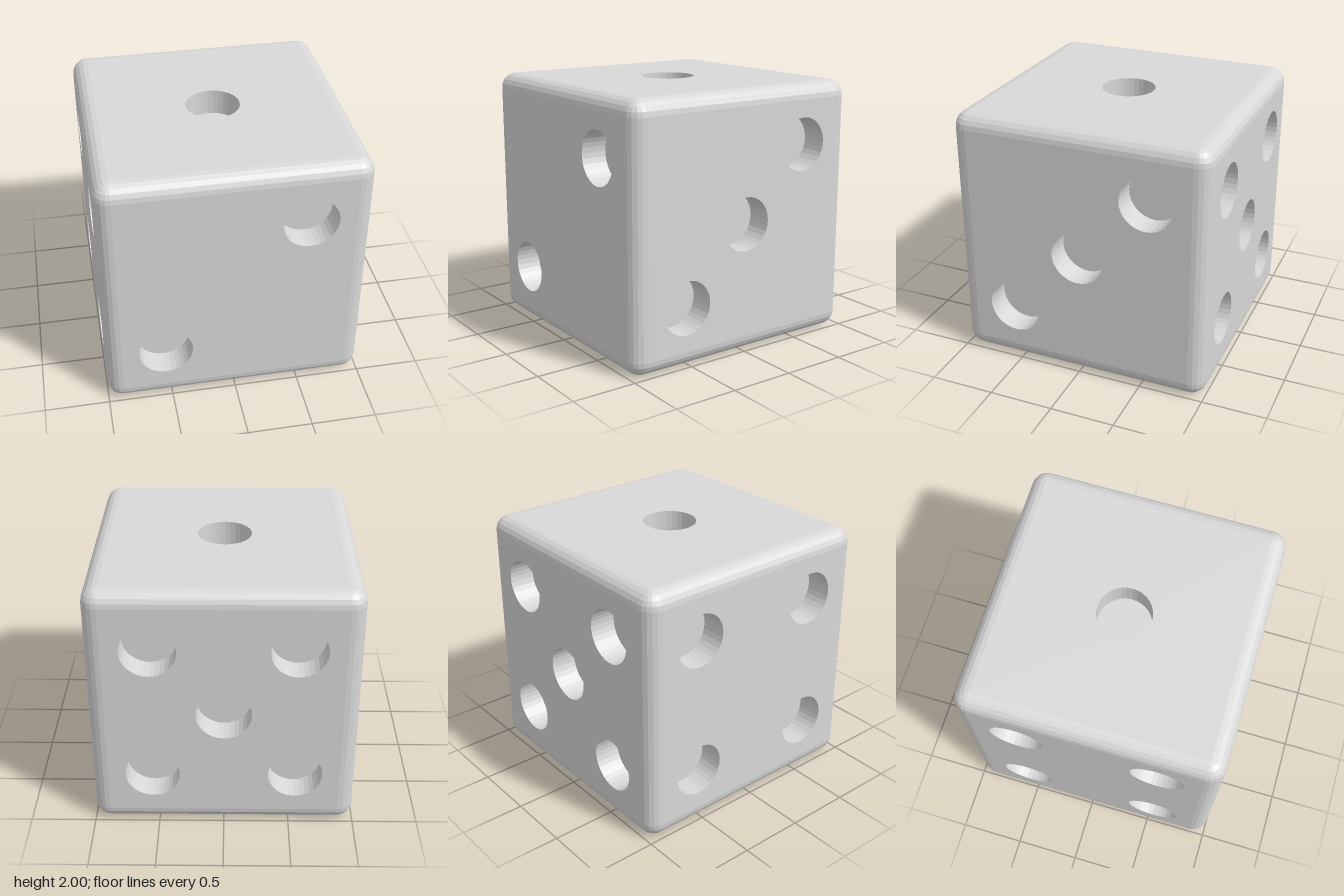
import * as THREE from 'three';

const ROUND = 0.12;            // edge rounding radius
const FLAT = 1 - ROUND;        // half width of the flat part of a face
const STEPS = 5;               // facets around each rounded edge
const PIP = 0.206, DEPTH = 0.2, A = 0.54;

const CENTRE = [[0, 0]];
const DIAGONAL = [[A, A], [-A, -A]];
const FOUR = [...DIAGONAL, [-A, A], [A, -A]];
const HALF = Math.PI / 2;

// name, rotation about x, rotation about y, pip positions
const FACES = [
  ['top', -HALF, 0, CENTRE],
  ['front', 0, 0, DIAGONAL],
  ['right', 0, HALF, [...DIAGONAL, ...CENTRE]],
  ['left', 0, -HALF, FOUR],
  ['back', 0, Math.PI, [...FOUR, ...CENTRE]],
  ['bottom', HALF, 0, [...FOUR, [A, 0], [-A, 0]]],
];

export function createModel() {
  const model = new THREE.Group();
  model.name = 'die';
  const grey = new THREE.MeshStandardMaterial({ color: 0xd8d8d8, flatShading: true });
  grey.name = 'light grey';

  const body = new THREE.Group();
  body.name = 'body';
  body.position.y = 1;
  model.add(body);

  const add = (parent, name, geometry) => {
    const mesh = new THREE.Mesh(geometry, grey);
    mesh.name = name;
    parent.add(mesh);
    return mesh;
  };

  // Drilled pip: wall going inward, then a flat floor
  const pipGeometry = new THREE.LatheGeometry([
    new THREE.Vector2(PIP, 0),
    new THREE.Vector2(PIP, -DEPTH),
    new THREE.Vector2(0, -DEPTH),
  ], 32).rotateX(HALF);

  // Six flat faces with round holes
  for (const [name, rx, ry, pips] of FACES) {
    const face = new THREE.Group();
    face.name = name + 'Face';
    face.rotation.set(rx, ry, 0);
    const shape = new THREE.Shape([
      new THREE.Vector2(-FLAT, -FLAT), new THREE.Vector2(FLAT, -FLAT),
      new THREE.Vector2(FLAT, FLAT), new THREE.Vector2(-FLAT, FLAT),
    ]);
    for (const [x, y] of pips) {
      shape.holes.push(new THREE.Path().absarc(x, y, PIP, 0, Math.PI * 2, true));
      add(face, 'pip', pipGeometry).position.set(x, y, 1);
    }
    add(face, 'plate', new THREE.ShapeGeometry(shape, 16)).position.z = 1;
    body.add(face);
  }

  // Twelve rounded edges, four along each axis
  const edgeGeometry = new THREE.CylinderGeometry(ROUND, ROUND, 2 * FLAT, STEPS, 1, true, 0, HALF)
    .translate(FLAT, 0, FLAT);
  for (const [rx, rz] of [[0, 0], [HALF, 0], [0, HALF]]) {
    const edges = new THREE.Group();
    edges.name = 'edges';
    edges.rotation.set(rx, 0, rz);
    for (let i = 0; i < 4; i++) add(edges, 'edge', edgeGeometry).rotation.y = i * HALF;
    body.add(edges);
  }

  // Eight rounded corners, upper and lower
  const cornerGeometry = new THREE.SphereGeometry(ROUND, STEPS, STEPS, HALF, HALF, 0, HALF)
    .translate(FLAT, FLAT, FLAT);
  for (const rx of [0, Math.PI]) {
    const corners = new THREE.Group();
    corners.name = 'corners';
    corners.rotation.x = rx;
    for (let i = 0; i < 4; i++) add(corners, 'corner', cornerGeometry).rotation.y = i * HALF;
    body.add(corners);
  }

  return model;
}
